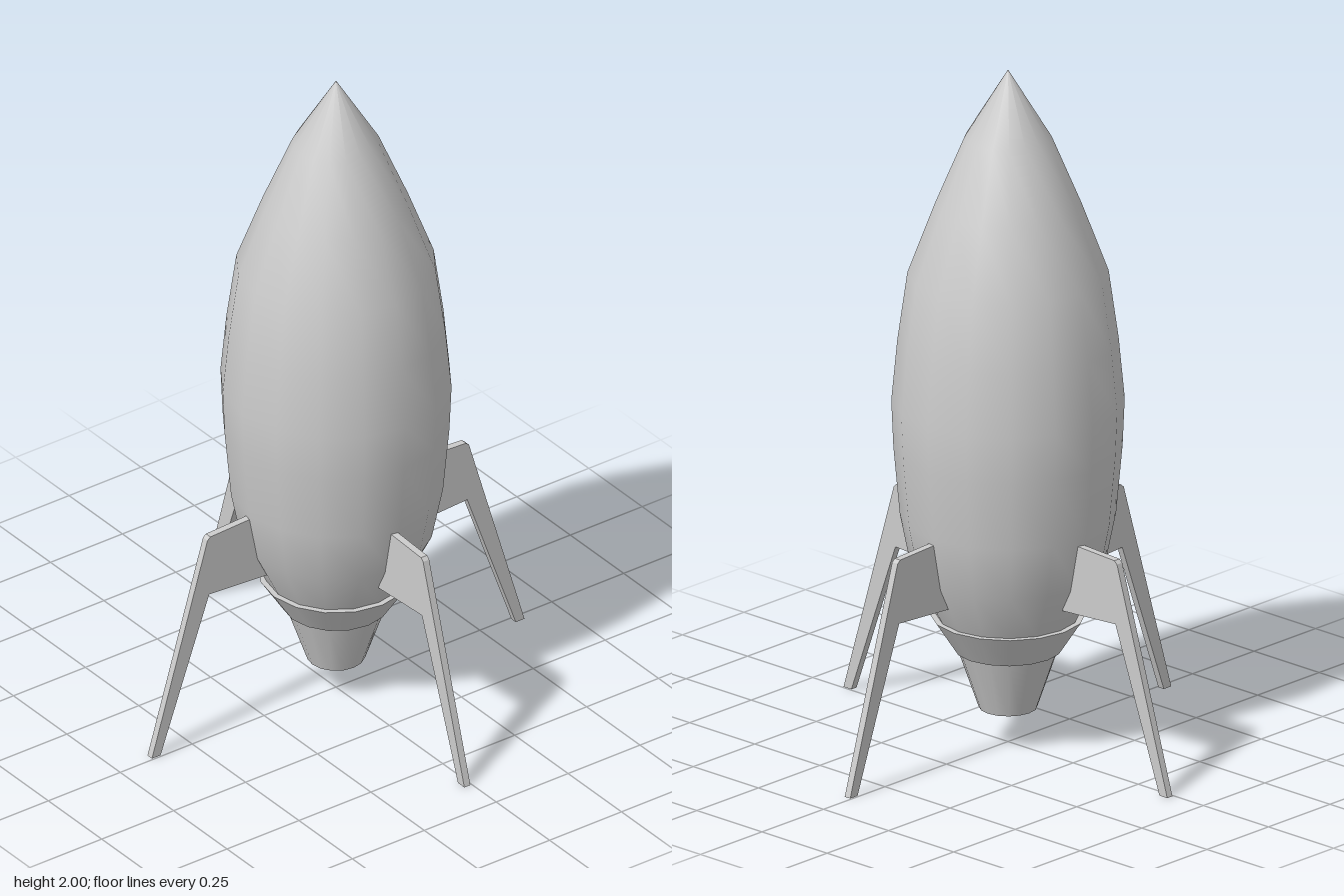
import * as THREE from 'three';

const material = new THREE.MeshStandardMaterial({ color: 0xcccccc });
const SIDES = 16;

// Smooth turned part; profile runs bottom to top as [radius, y]
function turned(name, profile) {
  const points = profile.map(([r, y]) => new THREE.Vector2(r, y));
  const mesh = new THREE.Mesh(new THREE.LatheGeometry(points, SIDES), material);
  mesh.name = name;
  return mesh;
}

// Flat ring or disc facing up or down
function disc(name, radius, y, up) {
  const geometry = new THREE.CircleGeometry(radius, SIDES);
  geometry.rotateX(up ? -Math.PI / 2 : Math.PI / 2);
  const mesh = new THREE.Mesh(geometry, material);
  mesh.position.y = y;
  mesh.name = name;
  return mesh;
}

export function createModel() {
  const model = new THREE.Group();
  model.name = 'rocket';

  // Hull with pointed nose
  model.add(turned('hull', [
    [0.2, 0.38], [0.27, 0.52], [0.302, 0.68], [0.32, 0.88], [0.326, 1.02],
    [0.309, 1.2], [0.281, 1.4], [0.206, 1.6], [0.122, 1.8], [0, 2],
  ]));

  // Tapered collar under the hull
  model.add(turned('collar', [[0.152, 0.28], [0.217, 0.38]]));
  model.add(disc('collarTop', 0.217, 0.38, true));
  model.add(disc('collarBottom', 0.152, 0.28, false));

  // Engine nozzle
  model.add(turned('nozzle', [[0.082, 0.105], [0.142, 0.28]]));
  model.add(disc('nozzleEnd', 0.082, 0.105, false));

  // Four landing fins, each set just to one side of the centre plane
  const outline = [
    [0.606, 0], [0.636, 0], [0.443, 0.646], [0.433, 0.655],
    [0.28, 0.662], [0.2, 0.662], [0.2, 0.454], [0.25, 0.456], [0.437, 0.467],
  ].map(([x, y]) => new THREE.Vector2(x, y));
  const finGeometry = new THREE.ExtrudeGeometry(new THREE.Shape(outline), {
    depth: 0.021, bevelEnabled: false,
  });
  finGeometry.translate(0, 0, 0.005);
  for (let i = 0; i < 4; i++) {
    const fin = new THREE.Mesh(finGeometry, material);
    fin.name = 'landingFin' + (i + 1);
    fin.rotation.y = (i * Math.PI) / 2;
    model.add(fin);
  }

  return model;
}
